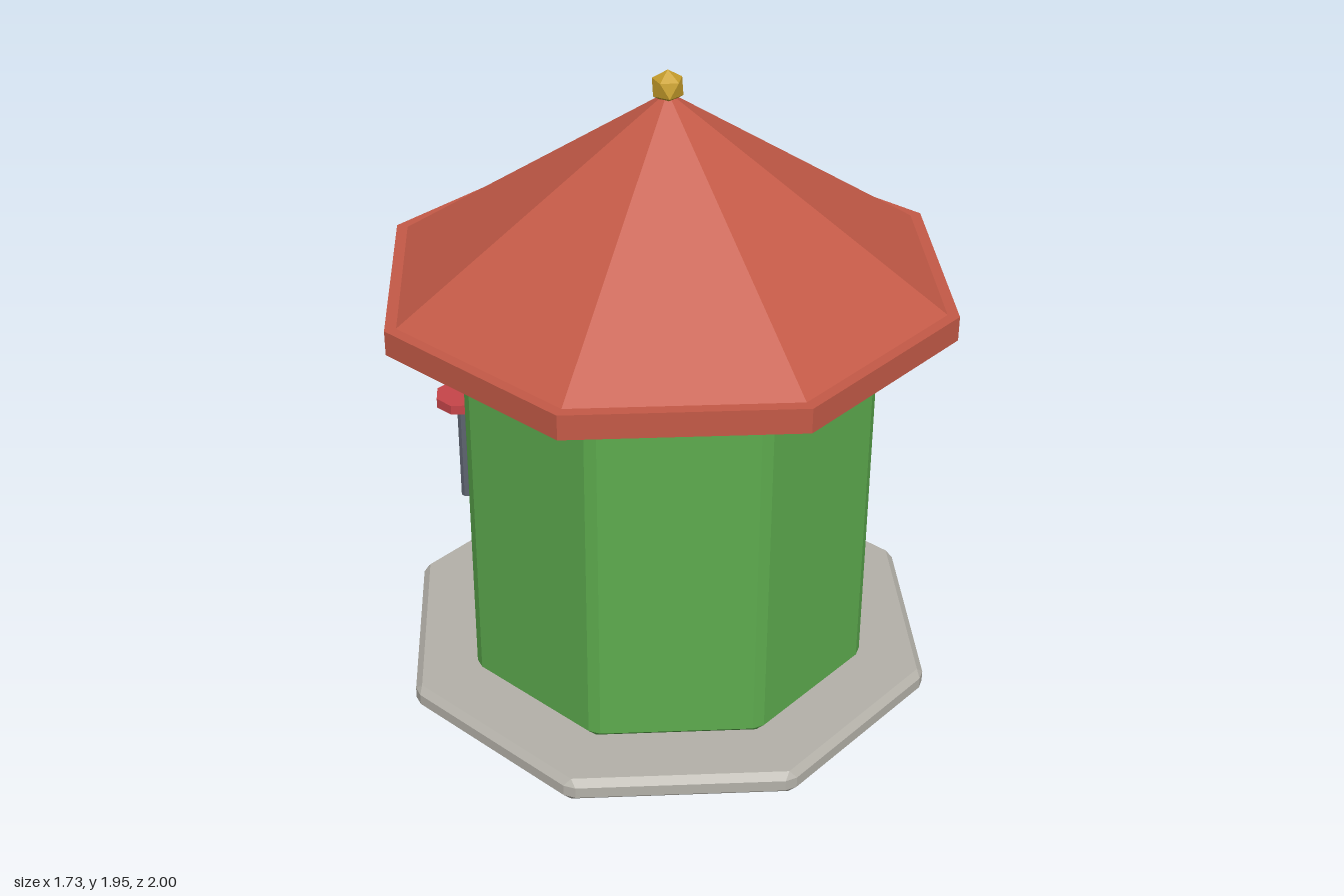
import * as THREE from 'three';
import { ConvexGeometry } from 'three/addons/geometries/ConvexGeometry.js';

const CZ = 0.13; // centre of the round hut; the stools stand behind it

function paint(name, color) {
  const m = new THREE.MeshStandardMaterial({ color, flatShading: true });
  m.name = name;
  return m;
}

// Upright prism over a convex outline [[x, z], ...] with every edge chamfered by w
function chamferedPrism(outline, y0, y1, w) {
  const pts = [];
  const n = outline.length;
  outline.forEach(([x, z], i) => {
    const p = new THREE.Vector2(x, z);
    const a = new THREE.Vector2(...outline[(i + n - 1) % n]).sub(p).normalize();
    const b = new THREE.Vector2(...outline[(i + 1) % n]).sub(p).normalize();
    const sin = Math.abs(a.cross(b));
    // side corners, pulled back along each edge
    for (const d of [a, b]) {
      const q = p.clone().addScaledVector(d, w);
      for (const y of [y0 + w, y1 - w]) pts.push(new THREE.Vector3(q.x, y, q.y));
    }
    // inset corners of the top and bottom faces
    const q = p.clone().addScaledVector(a.add(b), w / sin);
    for (const y of [y0, y1]) pts.push(new THREE.Vector3(q.x, y, q.y));
  });
  return new ConvexGeometry(pts);
}

function octagon(r) {
  return Array.from({ length: 8 }, (_, i) => {
    const t = (i * Math.PI) / 4;
    return [r * Math.sin(t), r * Math.cos(t)];
  });
}

export function createModel() {
  const model = new THREE.Group();
  model.name = 'kiosk';

  const green = paint('wall green', 0x5dab4e);
  const terracotta = paint('roof terracotta', 0xc45a47);
  const grey = paint('light grey', 0xb4b1a9);
  const red = paint('bright red', 0xc64549);
  const wood = paint('wood brown', 0x9a6a3c);
  const glass = paint('dark window', 0x3b414f);
  const steel = paint('steel', 0x5d636f);
  const gold = paint('gold', 0xc9a02c);

  function add(name, geometry, material, x = 0, y = 0, z = 0, parent = model) {
    const mesh = new THREE.Mesh(geometry, material);
    mesh.name = name;
    mesh.position.set(x, y, z);
    parent.add(mesh);
    return mesh;
  }

  // Plinth and walls
  add('plinth', chamferedPrism(octagon(0.848), 0, 0.075, 0.02), grey, 0, 0, CZ);
  add('walls', chamferedPrism(octagon(0.643), 0.075, 1.255, 0.02), green, 0, 0, CZ);

  // Roof with its eave and finial
  add('eave', new THREE.CylinderGeometry(0.865, 0.865, 0.075, 8), terracotta, 0, 1.2875, CZ);
  add('roof', new THREE.ConeGeometry(0.83, 0.555, 8), terracotta, 0, 1.6025, CZ);
  const ball = new THREE.IcosahedronGeometry(0.05, 0);
  ball.rotateZ(-Math.atan(2 / (1 + Math.sqrt(5)))); // one corner straight up
  add('finial', ball, gold, 0, 1.895, CZ);

  // Serving window and counter at the back
  add('servingWindow', new THREE.BoxGeometry(0.7, 0.42, 0.09), glass, 0, 0.85, -0.453);
  const plank = [[-0.4, -0.64], [0.4, -0.64], [0.4, -0.41], [-0.4, -0.41]];
  add('counter', chamferedPrism(plank, 0.63, 0.682, 0.012), wood);

  // Striped awning, rising outwards
  const awning = new THREE.Group();
  awning.name = 'awning';
  awning.position.set(0, 1.147, -0.62);
  awning.rotation.x = 0.31;
  for (let i = 0; i < 5; i++) {
    add('awningStripe', new THREE.BoxGeometry(0.168, 0.02, 0.3),
      i % 2 ? grey : red, (i - 2) * 0.168, 0, 0, awning);
  }
  model.add(awning);

  // Two stools
  for (const side of [-1, 1]) {
    const stool = new THREE.Group();
    stool.name = side > 0 ? 'leftStool' : 'rightStool';
    stool.position.set(side * 0.283, 0, -0.907);
    add('stoolSeat', new THREE.CylinderGeometry(0.093, 0.093, 0.035, 8), red, 0, 0.4, 0, stool);
    add('stoolLeg', new THREE.CylinderGeometry(0.02, 0.02, 0.385, 8), steel, 0, 0.1925, 0, stool);
    model.add(stool);
  }

  return model;
}
